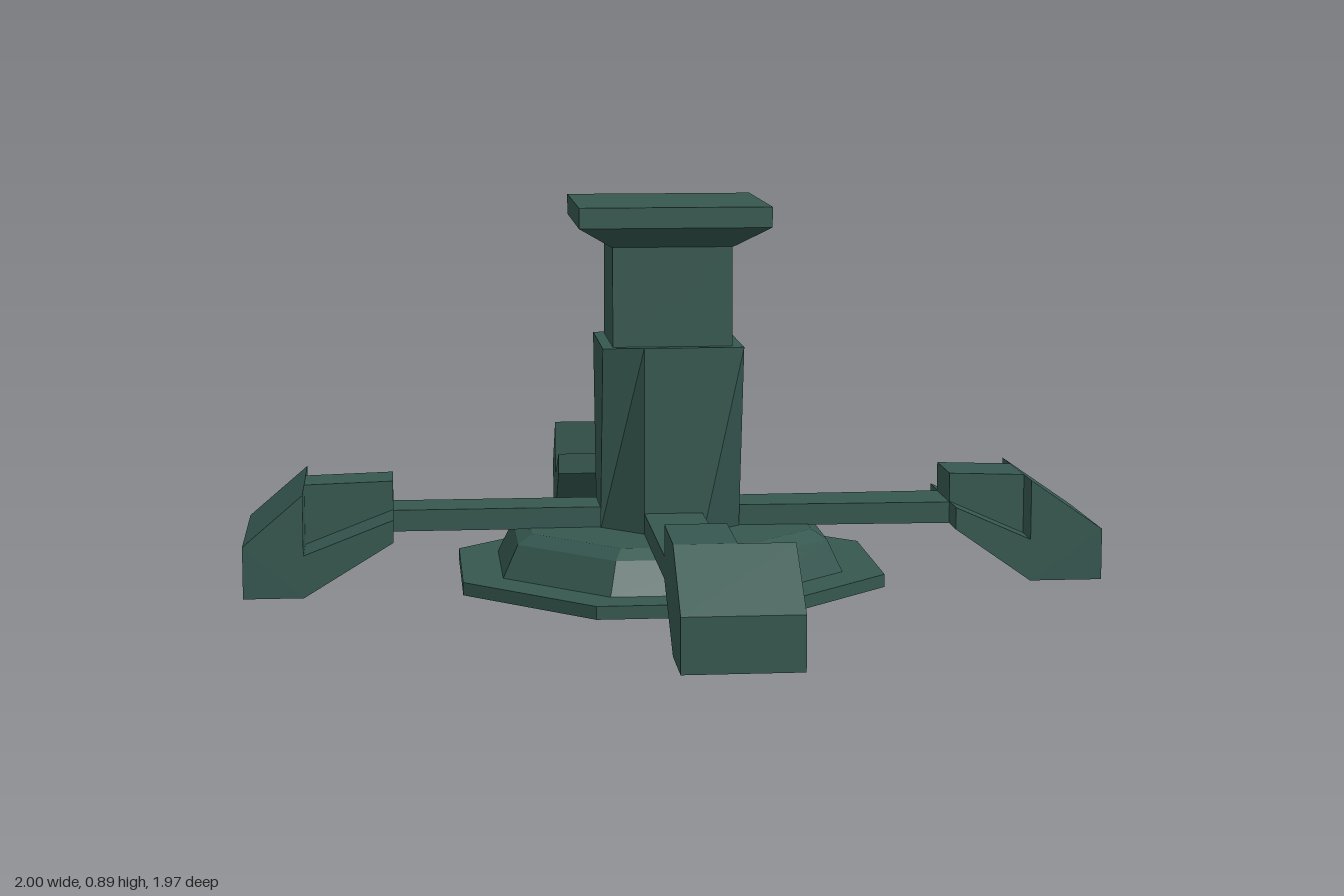
import * as THREE from 'three';

const material = new THREE.MeshStandardMaterial({ color: 0x35574f, flatShading: true });
const CX = -0.012, CZ = -0.033; // axis of base and column

function add(parent, name, geometry) {
  const mesh = new THREE.Mesh(geometry, material);
  mesh.name = name;
  parent.add(mesh);
  return mesh;
}

// Regular n-sided prism or frustum, sized by the distance to its flat sides
function prism(n, halfBottom, halfTop, y0, y1) {
  const k = 1 / Math.cos(Math.PI / n);
  return new THREE.CylinderGeometry(halfTop * k, halfBottom * k, y1 - y0, n)
    .rotateY(Math.PI / n)
    .translate(CX, (y0 + y1) / 2, CZ);
}

// Side profile extruded across the width from w0 to w1
function slab(points, w0, w1) {
  const shape = new THREE.Shape(points.map(([x, y]) => new THREE.Vector2(x, y)));
  return new THREE.ExtrudeGeometry(shape, { depth: w1 - w0, bevelEnabled: false })
    .translate(0, 0, w0);
}

// Lower column: square at the top, octagonal at the bottom
function taperedColumn(half, y0, y1) {
  const geometry = prism(8, half, half, y0, y1);
  const p = geometry.attributes.position;
  for (let i = 0; i < p.count; i++) {
    const x = p.getX(i) - CX, z = p.getZ(i) - CZ;
    if (p.getY(i) > y1 - 0.01 && Math.abs(x) > Math.abs(z)) {
      p.setZ(i, CZ + Math.sign(z) * half);
    }
  }
  return geometry;
}

// Arm reaching outward along +x, with its own width at each end
function armGeometry(length, inner, outer) {
  const geometry = new THREE.BoxGeometry(length, 0.05, 1).translate(length / 2, 0.16, 0);
  const p = geometry.attributes.position;
  for (let i = 0; i < p.count; i++) {
    const range = p.getX(i) > length / 2 ? outer : inner;
    p.setZ(i, range[p.getZ(i) > 0 ? 1 : 0]);
  }
  return geometry;
}

// One leg: arm, toe, sloping wings and a raised block, built along +x
function leg(name, angle, { inner, crease, tip, foot, arm, block }) {
  const group = new THREE.Group();
  group.name = name;
  add(group, 'arm', armGeometry(inner + 0.03, arm, block));
  add(group, 'toe', slab([[crease, 0.01], [tip, 0.01], [tip, 0.13], [crease, 0.248]], ...foot));
  add(group, 'footWings', slab([[inner, 0.135], [crease, 0.01], [crease, 0.108], [inner, 0.187]], ...foot));
  add(group, 'footBlock', slab([[inner, 0.185], [crease, 0.106], [crease, 0.248], [inner, 0.254]], ...block));
  group.rotation.y = angle;
  return group;
}

export function createModel() {
  const model = new THREE.Group();
  const body = new THREE.Group();
  body.name = 'turretMount';
  body.position.y = -0.01;
  model.add(body);

  // Octagonal base
  add(body, 'basePlate', prism(8, 0.488, 0.488, 0.01, 0.04));
  add(body, 'baseSlope', prism(8, 0.395, 0.36, 0.04, 0.115));
  add(body, 'baseBevel', prism(8, 0.36, 0.325, 0.115, 0.137));

  // Column and cap
  add(body, 'lowerColumn', taperedColumn(0.163, 0.13, 0.57));
  add(body, 'upperColumn', prism(4, 0.138, 0.138, 0.57, 0.8));
  add(body, 'capFlare', prism(4, 0.14, 0.22, 0.8, 0.85));
  add(body, 'capPlate', prism(4, 0.22, 0.22, 0.85, 0.897));

  // Four legs; widths run along each leg's own sideways axis
  body.add(
    leg('leftLeg', 0, {
      inner: 0.65, crease: 0.828, tip: 0.998, foot: [-0.2, 0.13], arm: [-0.1, 0.03], block: [-0.113, 0.046],
    }),
    leg('backLeg', Math.PI / 2, {
      inner: 0.73, crease: 0.882, tip: 0.987, foot: [-0.23, 0.205], arm: [-0.077, 0.057], block: [-0.077, 0.057],
    }),
    leg('rightLeg', Math.PI, {
      inner: 0.657, crease: 0.862, tip: 1, foot: [-0.167, 0.238], arm: [-0.03, 0.102], block: [-0.03, 0.102],
    }),
    leg('frontLeg', -Math.PI / 2, {
      inner: 0.628, crease: 0.822, tip: 0.985, foot: [-0.178, 0.08], arm: [-0.055, 0.08], block: [-0.055, 0.08],
    }),
  );

  return model;
}
